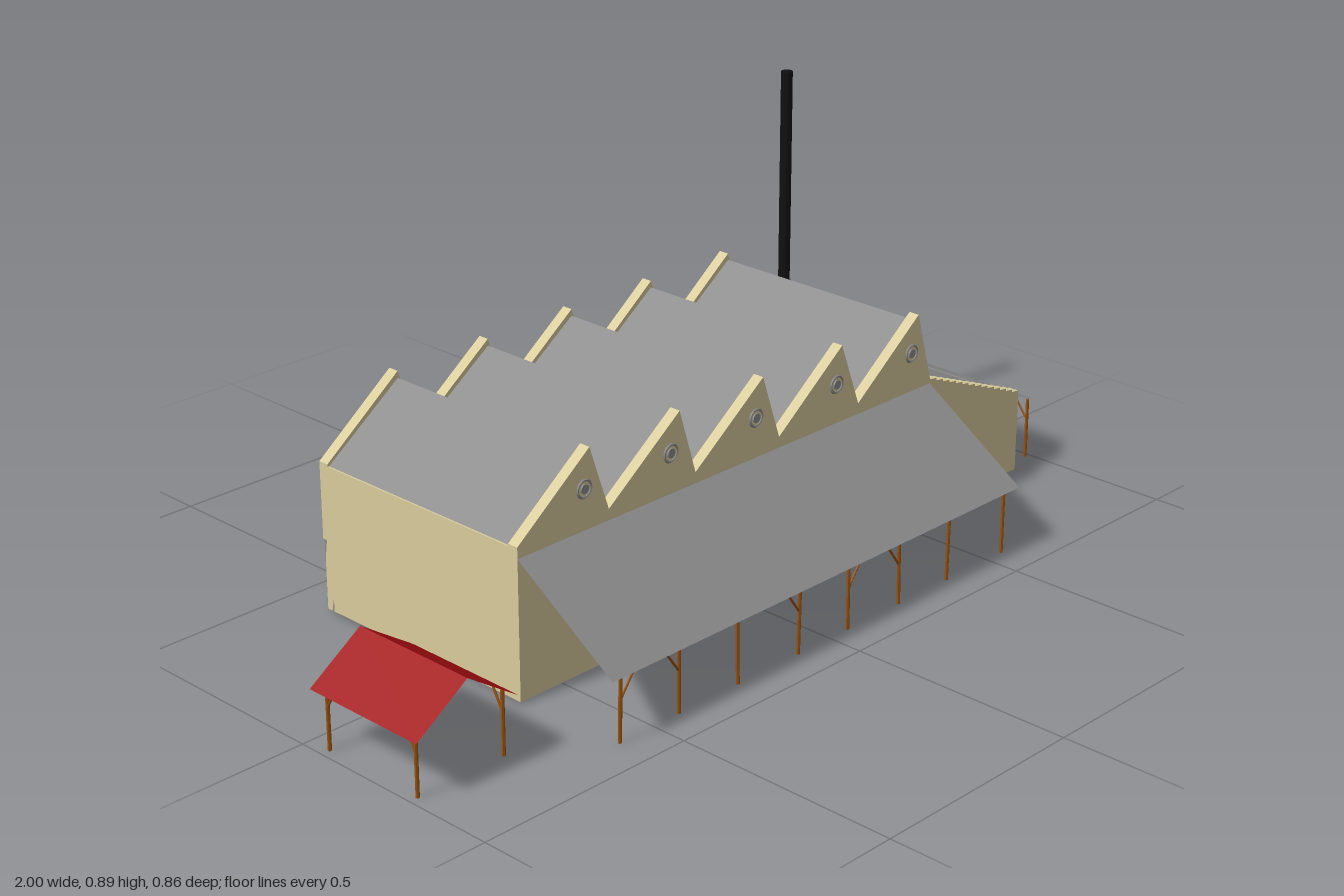
import * as THREE from 'three';

const mat = (name, color) => {
  const m = new THREE.MeshStandardMaterial({ color, side: THREE.DoubleSide, flatShading: true });
  m.name = name;
  return m;
};

export function createModel() {
  const brick = mat('sand brick', 0xd8cb9b);
  const grey = mat('slate grey', 0x8c8c8c);
  const glass = mat('roof glass', 0xa6a6e2);
  const wood = mat('post wood', 0x94500f);
  const red = mat('shelter red', 0xa30d10);
  const black = mat('chimney black', 0x101012);
  const model = new THREE.Group();
  model.name = 'factory';

  const add = (name, geo, m, x = 0, y = 0, z = 0) => {
    const mesh = new THREE.Mesh(geo, m);
    mesh.name = name;
    mesh.position.set(x, y, z);
    model.add(mesh);
    return mesh;
  };
  // box given by its two extreme corners
  const box = (name, m, x0, x1, y0, y1, z0, z1) =>
    add(name, new THREE.BoxGeometry(x1 - x0, y1 - y0, z1 - z0), m, (x0 + x1) / 2, (y0 + y1) / 2, (z0 + z1) / 2);
  // flat four-cornered sheet
  const sheet = (name, m, a, b, c, d) => {
    const g = new THREE.BufferGeometry();
    g.setAttribute('position', new THREE.Float32BufferAttribute([...a, ...b, ...c, ...a, ...c, ...d], 3));
    g.computeVertexNormals();
    return add(name, g, m);
  };
  // slope seen edge-on in x and y, swept along z
  const slopeX = (name, m, xa, ya, xb, yb, z0, z1) =>
    sheet(name, m, [xa, ya, z1], [xb, yb, z1], [xb, yb, z0], [xa, ya, z0]);
  // thin round bar between two points
  const bar = (name, m, a, b, r) => {
    const p = new THREE.Vector3(...a), q = new THREE.Vector3(...b);
    const mesh = add(name, new THREE.CylinderGeometry(r, r, p.distanceTo(q), 6), m);
    mesh.position.copy(p).add(q).multiplyScalar(0.5);
    mesh.quaternion.setFromUnitVectors(new THREE.Vector3(0, 1, 0), q.sub(p).normalize());
  };

  const X0 = -0.615, X1 = 0.59, X2 = 0.905;
  const zIn = 0.155, zOut = 0.18, zBackIn = -0.37, zBack = -0.395;
  const peaks = [-0.425, -0.18, 0.06, 0.3, 0.545];
  const valleys = [X0, -0.375, -0.135, 0.11, 0.355, X1];

  // gable walls: saw-tooth parapet, then a finely stepped coping down the annexe
  const gable = (name, yBase, z, depth) => {
    const s = new THREE.Shape();
    s.moveTo(X0, yBase);
    s.lineTo(X0, 0.33);
    peaks.forEach((p, i) => {
      s.lineTo(p, 0.475);
      s.lineTo(valleys[i + 1], i === 4 ? 0.318 : 0.33);
    });
    const n = 14;
    for (let i = 0; i < n; i++) {
      const y = 0.315 - 0.125 * i / n;
      s.lineTo(X1 + (X2 - X1) * (i + 0.01) / n, y);
      s.lineTo(X1 + (X2 - X1) * (i + 1) / n, y - 0.003);
    }
    s.lineTo(X2, yBase);
    add(name, new THREE.ExtrudeGeometry(s, { depth, bevelEnabled: false }), brick, 0, 0, z);
  };
  gable('frontWall', 0.005, zIn, zOut - zIn);
  gable('backWallUpper', 0.16, zBack, 0.025);
  box('backWallBase', grey, X0, X2, 0.005, 0.16, -0.391, zBackIn);
  box('leftEndWall', brick, X0, X0 + 0.006, 0.005, 0.325, zBack + 0.005, zOut - 0.001);
  box('rightEndWall', grey, X2 - 0.005, X2 + 0.001, 0.005, 0.18, -0.39, 0.178);
  box('upperEndWall', brick, X1 - 0.004, X1, 0.295, 0.328, zBackIn, zIn);

  // saw-tooth roof: long slates and steep glazing
  peaks.forEach((p, i) => {
    slopeX('roofSlope', grey, valleys[i], 0.322, p, 0.46, zBackIn, zIn);
    slopeX('roofGlazing', glass, p, 0.46, valleys[i + 1], 0.325, zBackIn, zIn);
  });

  // round gable vents on both faces
  for (const p of [-0.44, -0.205, 0.04, 0.285, 0.525]) {
    for (const z of [zOut, zBack]) {
      add('ventRing', new THREE.TorusGeometry(0.018, 0.003, 5, 20), grey, p, 0.393, z);
      const hub = add('ventHub', new THREE.CylinderGeometry(0.01, 0.01, 0.006, 16), grey, p, 0.393, z);
      hub.rotation.x = Math.PI / 2;
    }
  }

  // annexe roof running out over the side veranda, and the front lean-to
  slopeX('annexeRoof', grey, X1, 0.306, 1.0, 0.14, zBackIn, zIn);
  sheet('leanToRoof', grey, [X0, 0.14, 0.43], [X1, 0.14, 0.43], [X1, 0.306, zOut], [X0, 0.306, zOut]);

  // doors
  box('frontDoor', grey, -0.085, 0.055, 0.005, 0.2, zIn - 0.003, zOut + 0.003);
  box('sideDoor', grey, X2, X2 + 0.004, 0.01, 0.135, 0.035, 0.1);
  box('sideDoor', grey, X2, X2 + 0.004, 0.01, 0.135, -0.103, -0.03);

  // back windows with sills, and the openings above them
  for (let i = 0; i < 10; i++) {
    const x = 0.51 - 0.118 * i, w = 0.027;
    const s = new THREE.Shape();
    s.moveTo(-w, 0.05);
    s.lineTo(w, 0.05);
    s.lineTo(w, 0.125);
    s.quadraticCurveTo(0, 0.145, -w, 0.125);
    add('backWindow', new THREE.ExtrudeGeometry(s, { depth: 0.004, bevelEnabled: false, curveSegments: 4 }), grey, x, 0, -0.3945);
    box('windowSill', grey, x - 0.033, x + 0.033, 0.044, 0.05, -0.397, -0.39);
    const blind = i !== 0 && i !== 7;
    box(blind ? 'blindOpening' : 'loftDoor', blind ? brick : grey, x - w, x + w, 0.18, 0.275, -0.397, -0.394);
  }
  box('smallWindow', grey, 0.755, 0.805, 0.08, 0.125, -0.395, -0.39);
  bar('wallPipe', black, [0.455, 0.12, -0.385], [0.455, 0.122, -0.43], 0.005);
  for (const v of valleys.slice(1, 5)) bar('rainSpout', black, [v, 0.325, -0.385], [v, 0.325, -0.402], 0.004);

  // chimney: six-sided base and tapered cap under a tall stack
  const cx = 0.66, cz = -0.305;
  add('chimneyBase', new THREE.CylinderGeometry(0.056, 0.056, 0.085, 7), grey, cx, 0.295, cz);
  add('chimneyCap', new THREE.CylinderGeometry(0.015, 0.056, 0.064, 7), grey, cx, 0.3695, cz);
  add('chimneyStack', new THREE.CylinderGeometry(0.013, 0.013, 0.485, 10), black, cx, 0.6425, cz);

  // lean-to posts with angled braces
  [-0.585, -0.43, -0.27, -0.09, 0.055, 0.21, 0.37, 0.55].forEach((x, i) => {
    bar('leanToPost', wood, [x + (i % 3 - 1) * 0.003, 0, 0.42], [x, 0.142, 0.42], 0.004);
    const dir = [1, -1, 0, -1, 1, -1, 0, 0][i];
    if (dir) bar('leanToBrace', wood, [x, 0.09, 0.42], [x + dir * 0.037, 0.142, 0.42], 0.0025);
  });
  // side veranda posts
  [0.145, -0.01, -0.17, -0.348].forEach((z, i) => {
    bar('verandaPost', wood, [0.988, 0, z + (i === 2 ? 0.004 : 0)], [0.988, 0.14, z], 0.004);
    const dir = [-1, 1, 0, 0][i];
    if (dir) bar('verandaBrace', wood, [0.988, 0.09, z], [0.988, 0.14, z + dir * 0.038], 0.0025);
  });

  // free-standing shelter
  for (const s of [-1, 1]) {
    slopeX('shelterRoof', red, -0.875 + s * 0.125, 0.126, -0.875, 0.21, 0.03, 0.325);
    for (const z of [0.055, 0.3]) {
      const x = -0.875 + s * 0.105, b = z > 0.1 ? -1 : 1;
      bar('shelterPost', wood, [x, 0, z], [x, 0.137, z], 0.004);
      bar('shelterBrace', wood, [x, 0.09, z], [x, 0.135, z + b * 0.025], 0.0025);
    }
  }
  return model;
}
